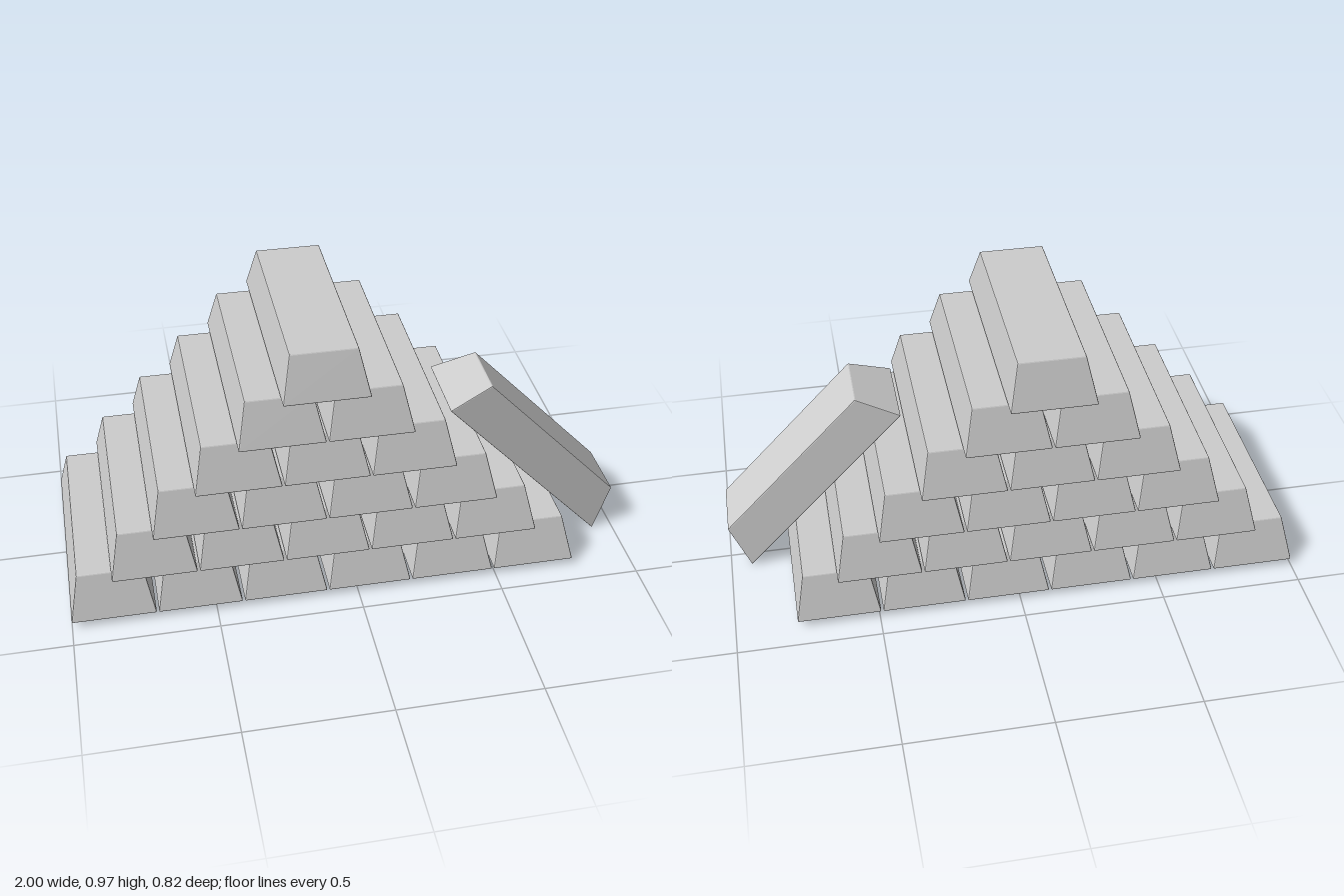
import * as THREE from 'three';
import { RoundedBoxGeometry } from 'three/addons/geometries/RoundedBoxGeometry.js';

const WIDTH = 0.292, HEIGHT = 0.156, LENGTH = 0.827;
const TOP_X = 0.775, TOP_Z = 0.853; // top face size relative to the base

// Ingot: a box with fine bevels, tapered towards the top, base at y = 0
function ingotGeometry() {
  const geo = new RoundedBoxGeometry(WIDTH, HEIGHT, LENGTH, 1, 0.004);
  geo.translate(0, HEIGHT / 2, 0);
  const p = geo.attributes.position;
  for (let i = 0; i < p.count; i++) {
    const t = p.getY(i) / HEIGHT;
    p.setX(i, p.getX(i) * THREE.MathUtils.lerp(1, TOP_X, t));
    p.setZ(i, p.getZ(i) * THREE.MathUtils.lerp(1, TOP_Z, t));
  }
  geo.computeVertexNormals();
  return geo;
}

export function createModel() {
  const model = new THREE.Group();
  model.name = 'ingotPile';
  const geo = ingotGeometry();
  const mat = new THREE.MeshStandardMaterial({ color: 0xcccccc, flatShading: true });

  const addIngot = (parent, name, x, y, z) => {
    const ingot = new THREE.Mesh(geo, mat);
    ingot.name = name;
    ingot.position.set(x, y, z);
    parent.add(ingot);
    return ingot;
  };

  // Pyramid of six rows, one ingot fewer in each
  const rows = 6, pitch = 0.299, rise = 0.1595, centreX = -0.107;
  for (let r = 0; r < rows; r++) {
    const row = new THREE.Group();
    row.name = `row${r + 1}`;
    const count = rows - r;
    for (let i = 0; i < count; i++) {
      addIngot(row, `ingot${i + 1}`, centreX + (i - (count - 1) / 2) * pitch, 0.026 + r * rise, 0);
    }
    model.add(row);
  }

  // Loose ingot leaning on the left slope, its base against the pile
  const leaning = addIngot(model, 'leaningIngot', 0.642, 0.303, 0.085);
  leaning.rotation.set(0, Math.PI / 2, -0.811, 'ZYX');

  return model;
}
